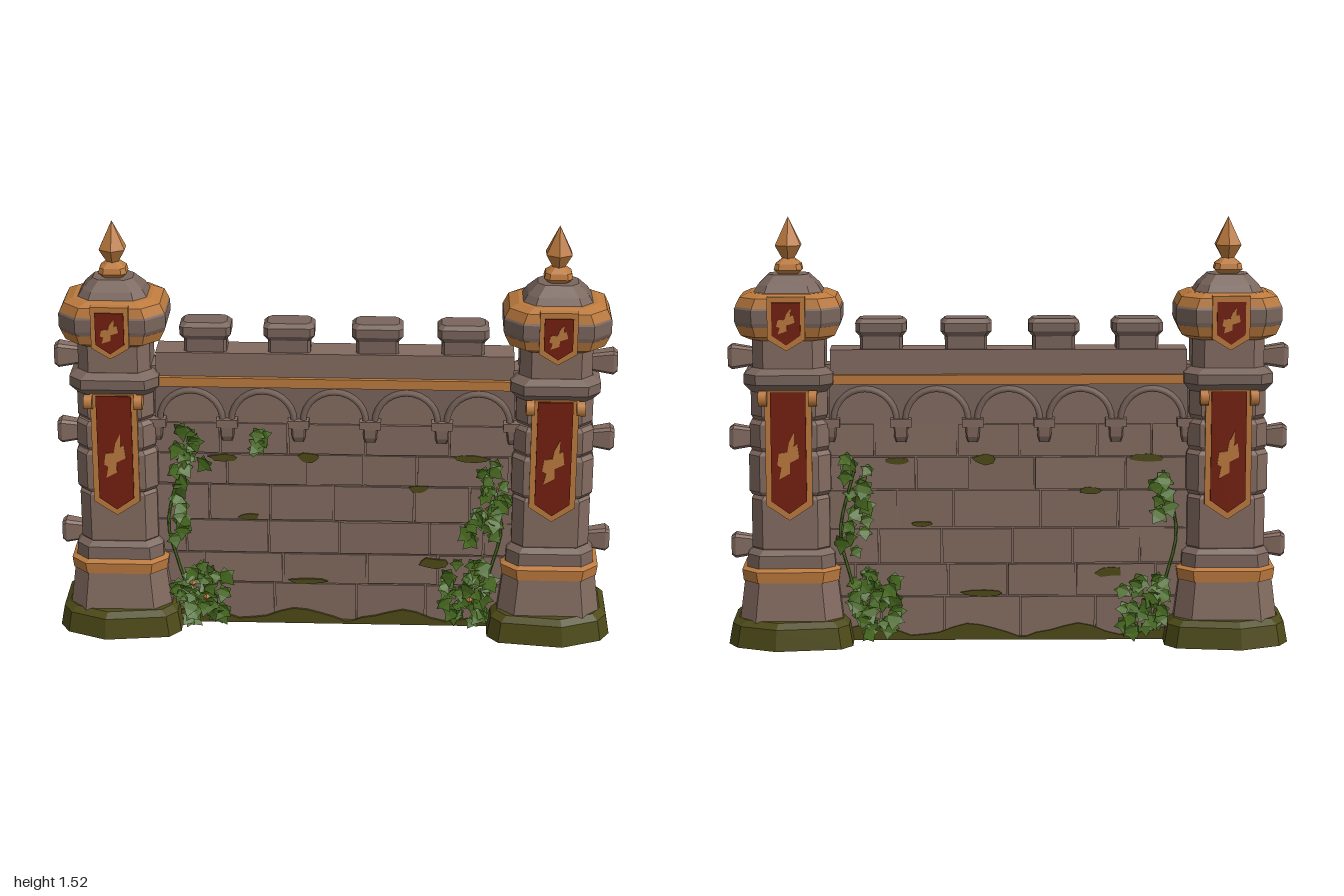
import * as THREE from 'three';
import { mergeGeometries } from 'three/addons/utils/BufferGeometryUtils.js';

const mat = (name, color, extra = {}) => {
  const m = new THREE.MeshStandardMaterial({ color, ...extra });
  m.name = name;
  return m;
};

export function createModel() {
  const stone = mat('stone', 0x836b60);
  const greyStone = mat('grey stone', 0x79655c);
  const gold = mat('gold trim', 0xbc7a3e);
  const red = mat('red cloth', 0x74200f);
  const moss = mat('moss', 0x4d4a18);
  const leafGreen = mat('ivy green', 0x47691f, { side: THREE.DoubleSide });

  let seed = 7;
  const rnd = (a = 0, b = 1) => {
    seed = (seed * 16807) % 2147483647;
    return a + (b - a) * seed / 2147483647;
  };

  const model = new THREE.Group();
  model.name = 'castleWall';
  const add = (parent, name, geo, material, x = 0, y = 0, z = 0) => {
    const m = new THREE.Mesh(geo, material);
    m.name = name;
    m.position.set(x, y, z);
    parent.add(m);
    return m;
  };
  const box = (w, h, d, x = 0, y = 0, z = 0) => new THREE.BoxGeometry(w, h, d).translate(x, y, z);

  // Flat-faced solid through stacked outlines, each a list of [x, z] at height y
  const loft = (rings) => {
    const pos = [];
    const tri = (...p) => p.forEach(v => pos.push(...v));
    const pts = rings.map(([y, o]) => o.map(([x, z]) => [x, y, z]));
    const n = pts[0].length, top = pts[pts.length - 1], bottom = pts[0];
    for (let i = 0; i < n; i++) {
      const j = (i + 1) % n;
      for (let k = 0; k < pts.length - 1; k++) {
        const p = pts[k], q = pts[k + 1];
        tri(p[i], q[i], q[j], p[i], q[j], p[j]);
      }
      tri([0, top[0][1], 0], top[j], top[i], [0, bottom[0][1], 0], bottom[i], bottom[j]);
    }
    const g = new THREE.BufferGeometry();
    g.setAttribute('position', new THREE.Float32BufferAttribute(pos, 3));
    g.computeVertexNormals();
    return g;
  };
  const oct = (hx, hz, c) => [[hx, -hz + c], [hx, hz - c], [hx - c, hz], [-hx + c, hz],
    [-hx, hz - c], [-hx, -hz + c], [-hx + c, -hz], [hx - c, -hz]];
  // rows are [y, halfWidth, halfDepth, chamfer]
  const tier = (...rows) => loft(rows.map(([y, hx, hz, c]) => [y, oct(hx, hz, c)]));

  const polygon = (pts, depth) => new THREE.ExtrudeGeometry(
    new THREE.Shape(pts.map(p => new THREE.Vector2(...p))), { depth, bevelEnabled: false });
  const pennant = (w, top, shoulder, tip, depth) =>
    polygon([[-w, top], [-w, shoulder], [0, tip], [w, shoulder], [w, top]], depth);
  const crest = [[-0.8, -1], [0.1, -0.75], [0.1, -0.3], [0.9, -0.1], [0.75, 0.5], [0.45, 0.4], [0.5, 1],
    [0.05, 0.55], [-0.1, 0.15], [-0.8, 0.1], [-0.95, -0.4], [-0.6, -0.5]];

  // ---- Towers ----
  const makeTower = (name) => {
    const t = new THREE.Group();
    t.name = name;
    const half = [[0.225, 0.1], [0.19, 0.16], [0.05, 0.22], [-0.18, 0.19], [-0.22, 0.14]];
    const foot = [...half, ...half.slice().reverse().map(([x, z]) => [x, -z])];
    const scaled = s => foot.map(([x, z]) => [x * s, z * s]);
    add(t, 'mossyFoot', loft([[0, scaled(1)], [0.075, scaled(0.94)], [0.095, scaled(0.84)]]), moss);
    add(t, 'plinth', tier([0.08, 0.185, 0.16, 0.06], [0.24, 0.165, 0.14, 0.055]), stone);
    add(t, 'plinthBand', tier([0.23, 0.17, 0.145, 0.055], [0.27, 0.175, 0.147, 0.055], [0.28, 0.155, 0.13, 0.05]), gold);
    add(t, 'shaftBase', tier([0.27, 0.158, 0.128, 0.045], [0.325, 0.155, 0.125, 0.045], [0.345, 0.135, 0.108, 0.04]), greyStone);
    // Uneven stone courses of the shaft
    [[0.335, 0.54, 0.138, 0.112], [0.54, 0.70, 0.144, 0.12], [0.70, 0.81, 0.14, 0.117], [0.81, 0.93, 0.135, 0.108]]
      .forEach(([a, b, hx, hz]) => add(t, 'shaftCourse', tier([a, hx - 0.008, hz - 0.008, 0.04], [a + 0.015, hx, hz, 0.04],
        [b - 0.015, hx, hz, 0.04], [b, hx - 0.008, hz - 0.008, 0.04]), stone));
    add(t, 'collar', tier([0.91, 0.135, 0.11, 0.04], [0.94, 0.157, 0.135, 0.045], [0.975, 0.157, 0.135, 0.045], [0.995, 0.13, 0.11, 0.04]), greyStone);
    add(t, 'neck', tier([0.99, 0.127, 0.108, 0.04], [1.12, 0.127, 0.108, 0.04]), stone);
    add(t, 'lowerCrownBand', tier([1.095, 0.135, 0.115, 0.045], [1.11, 0.165, 0.138, 0.055], [1.145, 0.182, 0.148, 0.065]), gold);
    add(t, 'crown', tier([1.14, 0.18, 0.146, 0.065], [1.16, 0.187, 0.15, 0.065], [1.205, 0.187, 0.15, 0.065], [1.225, 0.175, 0.14, 0.06]), greyStone);
    add(t, 'upperCrownBand', tier([1.212, 0.184, 0.148, 0.064], [1.245, 0.168, 0.14, 0.06], [1.26, 0.135, 0.115, 0.05]), gold);
    add(t, 'cap', tier([1.25, 0.127, 0.105, 0.045], [1.285, 0.105, 0.085, 0.035], [1.32, 0.07, 0.055, 0.025]), greyStone);
    add(t, 'finialBall', tier([1.31, 0.025, 0.025, 0.01], [1.335, 0.05, 0.045, 0.018], [1.355, 0.045, 0.04, 0.016], [1.375, 0.02, 0.02, 0.008]), gold);
    const spike = new THREE.LatheGeometry([[0, 1.36], [0.022, 1.37], [0.052, 1.42], [0, 1.52]]
      .map(p => new THREE.Vector2(...p)), 6).toNonIndexed();
    spike.computeVertexNormals();
    add(t, 'finialSpike', spike, gold);
    // Projecting blocks on the outer side
    for (const y of [0.34, 0.735, 1.025]) {
      const g = tier([0, 0.03, 0.024, 0.008], [0.085, 0.044, 0.033, 0.01], [0.1, 0.034, 0.025, 0.008]);
      add(t, 'sideBlock', g.rotateZ(-Math.PI / 2), stone, 0.118, y, 0);
    }
    // Banner and shield on both faces
    for (const turn of [0, Math.PI]) {
      const face = new THREE.Group();
      face.name = 'heraldry';
      face.rotation.y = turn;
      add(face, 'bannerBorder', pennant(0.082, 0.92, 0.51, 0.455, 0.02), gold, 0, 0, 0.107);
      add(face, 'bannerCloth', pennant(0.062, 0.915, 0.525, 0.48, 0.006), red, 0, 0, 0.127);
      add(face, 'bannerEmblem', polygon(crest.map(([x, y]) => [x * 0.042, y * 0.085 + 0.69]), 0.004), gold, 0, 0, 0.133);
      for (const s of [-1, 1]) {
        add(face, 'rodEnd', new THREE.CylinderGeometry(0.028, 0.028, 0.03, 8).rotateZ(Math.PI / 2), gold, s * 0.088, 0.893, 0.13);
        add(face, 'rodBracket', box(0.03, 0.03, 0.05), gold, s * 0.088, 0.893, 0.115);
      }
      add(face, 'shieldRim', pennant(0.066, 1.255, 1.105, 1.065, 0.03), gold, 0, 0, 0.127);
      add(face, 'shieldField', pennant(0.05, 1.235, 1.12, 1.085, 0.005), red, 0, 0, 0.157);
      add(face, 'shieldEmblem', polygon(crest.map(([x, y]) => [x * 0.035, y * 0.045 + 1.17]), 0.003), gold, 0, 0, 0.162);
      t.add(face);
    }
    model.add(t);
    return t;
  };
  makeTower('leftTower').position.x = 0.775;
  const rightTower = makeTower('rightTower');
  rightTower.position.x = -0.775;
  rightTower.rotation.y = Math.PI;

  // ---- Wall ----
  add(model, 'wallCore', box(1.3, 1.0, 0.092, 0, 0.5, 0), stone);
  const rows = [0.01, 0.16, 0.28, 0.41, 0.55, 0.67, 0.79];
  const bricks = [];
  for (const side of [-1, 1]) {
    for (let r = 0; r < rows.length - 1; r++) {
      const h = rows[r + 1] - rows[r];
      for (let x = -0.64 - rnd(0, 0.12); x < 0.62;) {
        const w = Math.min(rnd(0.19, 0.34), 0.65 - x);
        bricks.push(new THREE.BoxGeometry(w - 0.006, h - 0.006, 0.02)
          .rotateX(rnd(-0.03, 0.03)).rotateY(rnd(-0.02, 0.02))
          .translate(x + w / 2, rows[r] + h / 2, side * rnd(0.041, 0.046)));
        x += w;
      }
    }
  }
  add(model, 'wallBricks', mergeGeometries(bricks), stone);
  add(model, 'goldString', box(1.28, 0.034, 0.15, 0, 0.95, 0), gold);
  add(model, 'parapet', box(1.26, 0.09, 0.115, 0, 1.01, 0), stone);
  for (const x of [-0.455, -0.16, 0.15, 0.45]) {
    add(model, 'merlon', tier([1.04, 0.075, 0.045, 0.01], [1.1, 0.075, 0.045, 0.01], [1.118, 0.09, 0.056, 0.015],
      [1.148, 0.09, 0.056, 0.015], [1.163, 0.076, 0.044, 0.015]), greyStone, x);
  }

  // Blind arcade on both sides
  const arcade = new THREE.Shape();
  arcade.moveTo(-0.635, 0.935).lineTo(-0.635, 0.79);
  for (let i = -2; i <= 2; i++) {
    arcade.lineTo(i * 0.254 - 0.102, 0.79);
    arcade.absarc(i * 0.254, 0.805, 0.102, Math.PI, 0, true);
    arcade.lineTo(i * 0.254 + 0.102, 0.79);
  }
  arcade.lineTo(0.635, 0.79).lineTo(0.635, 0.935);
  for (const turn of [0, Math.PI]) {
    const g = new THREE.Group();
    g.name = 'arcade';
    g.rotation.y = turn;
    add(g, 'archSpandrels', new THREE.ExtrudeGeometry(arcade, { depth: 0.022, bevelEnabled: false, curveSegments: 10 }), greyStone, 0, 0, 0.04);
    for (let i = -2; i <= 2; i++)
      add(g, 'archRib', new THREE.TorusGeometry(0.11, 0.012, 5, 14, Math.PI), greyStone, i * 0.254, 0.805, 0.062);
    for (let i = -2.5; i <= 2.5; i++) {
      add(g, 'corbelCap', box(0.075, 0.03, 0.045), stone, i * 0.254, 0.795, 0.06);
      add(g, 'corbel', tier([0.725, 0.018, 0.012, 0.004], [0.745, 0.024, 0.022, 0.005], [0.785, 0.026, 0.026, 0.005]), stone, i * 0.254, 0, 0.053);
    }
    model.add(g);
  }

  // ---- Moss ----
  const fringe = [[-0.6, 0], [0.6, 0]];
  for (let i = 24; i >= 0; i--) fringe.push([-0.6 + i * 0.05, 0.035 + 0.022 * Math.sin(i * 0.85) + rnd(-0.008, 0.008)]);
  add(model, 'mossUnderside', box(1.2, 0.012, 0.125, 0, 0.006, 0), moss);
  const patches = [[-0.09, 0.66, 0.04, 0.018], [0.3, 0.545, 0.04, 0.014], [-0.31, 0.425, 0.04, 0.012], [0.49, 0.665, 0.06, 0.014],
    [-0.1, 0.17, 0.07, 0.012], [-0.4, 0.655, 0.05, 0.014], [0.36, 0.25, 0.05, 0.02]];
  for (const turn of [0, Math.PI]) {
    const g = new THREE.Group();
    g.name = 'mossSide';
    g.rotation.y = turn;
    add(g, 'mossFringe', polygon(fringe, 0.009), moss, 0, 0, 0.054);
    for (const [x, y, w, h] of patches) {
      const blob = Array.from({ length: 9 }, (_, i) => {
        const a = i / 9 * Math.PI * 2, r = rnd(0.75, 1.2);
        return [Math.cos(a) * w * r, Math.sin(a) * h * r];
      });
      add(g, 'mossPatch', polygon(blob, 0.008), moss, x, y, 0.052);
    }
    model.add(g);
  }

  // ---- Ivy: lobed leaves folded along the middle ----
  const leafShape = new THREE.Shape([[0, -0.8], [0.55, -0.85], [0.6, -0.35], [1, 0.05], [0.5, 0.25], [0, 1],
    [-0.5, 0.25], [-1, 0.05], [-0.6, -0.35], [-0.55, -0.85]].map(p => new THREE.Vector2(...p)));
  const leaf = (x, y, z, s, back) => {
    const g = new THREE.ShapeGeometry(leafShape);
    const p = g.attributes.position;
    for (let i = 0; i < p.count; i++) p.setZ(i, -Math.abs(p.getX(i)) * 0.4);
    g.scale(s, s, s).rotateZ(Math.PI + rnd(-0.9, 0.9)).rotateX(rnd(-0.7, 0.1)).rotateY(rnd(-0.6, 0.6)).translate(x, y, z);
    if (back) g.rotateY(Math.PI);
    const f = g.toNonIndexed();
    f.computeVertexNormals();
    return f;
  };
  // Clumps are [xFrom, xTo, yFrom, yTo, depth, count]; back clumps use x as seen from behind
  const frontClumps = [[-0.57, -0.38, 0.03, 0.23, 0.075, 36], [-0.57, -0.47, 0.6, 0.77, 0.025, 12], [-0.59, -0.54, 0.32, 0.58, 0.015, 8],
    [-0.3, -0.24, 0.69, 0.76, 0.02, 5], [0.4, 0.57, 0.03, 0.27, 0.06, 34], [0.46, 0.6, 0.35, 0.48, 0.025, 12], [0.53, 0.61, 0.48, 0.65, 0.025, 10]];
  const backClumps = [[-0.56, -0.4, 0.03, 0.25, 0.05, 32], [-0.6, -0.5, 0.32, 0.68, 0.025, 16],
    [0.4, 0.56, 0.03, 0.23, 0.05, 30], [0.5, 0.59, 0.45, 0.6, 0.02, 6]];
  [frontClumps, backClumps].forEach((clumps, back) => {
    const leaves = [];
    for (const [x0, x1, y0, y1, d, count] of clumps)
      for (let i = 0; i < count; i++)
        leaves.push(leaf(rnd(x0, x1), y0 + (y1 - y0) * (i + 0.5) / count, 0.07 + rnd(0, d), rnd(0.026, 0.042), back));
    add(model, back ? 'backIvy' : 'frontIvy', mergeGeometries(leaves), leafGreen);
    for (const s of [-1, 1]) {
      const vine = new THREE.CatmullRomCurve3([[0.5, 0.02], [0.57, 0.25], [0.6, 0.4], [0.55, 0.62]]
        .map(([x, y]) => new THREE.Vector3(s * x, y, 0.062)));
      const tube = new THREE.TubeGeometry(vine, 12, 0.005, 4);
      add(model, 'vineStem', back ? tube.rotateY(Math.PI) : tube, leafGreen);
    }
  });
  // Small blossoms in the front clumps
  for (const [x, y, z] of [[-0.46, 0.14, 0.14], [-0.51, 0.19, 0.13], [0.49, 0.14, 0.13]])
    add(model, 'blossom', new THREE.OctahedronGeometry(0.014), gold, x, y, z);

  return model;
}
